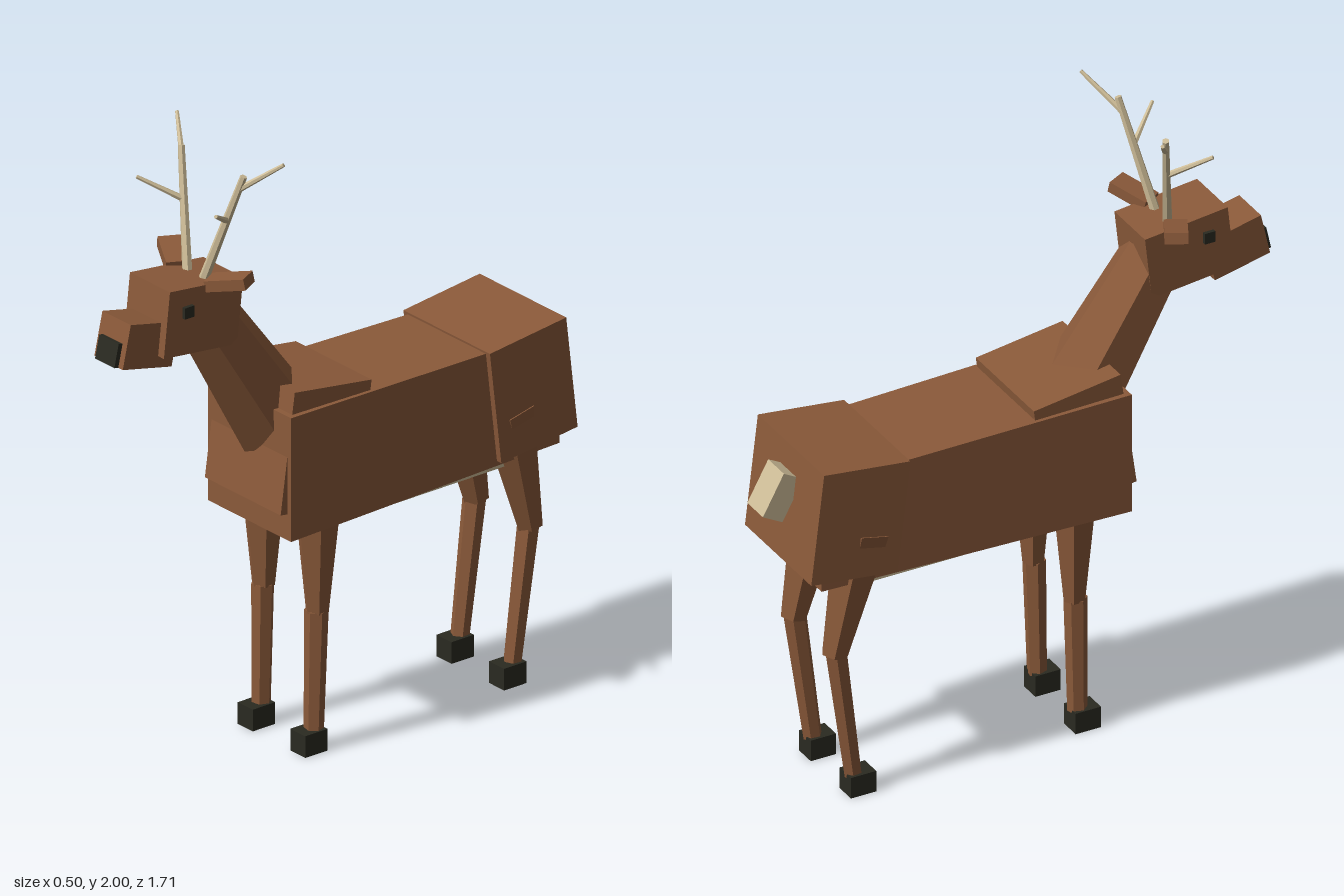
import * as THREE from 'three';

const flat = (name, color) => {
  const m = new THREE.MeshStandardMaterial({ color });
  m.name = name;
  return m;
};

export function createModel() {
  const root = new THREE.Group();
  root.name = 'deer';
  const brown = flat('brown coat', 0x8b5a3a);
  const cream = flat('cream', 0xcdbc97);
  const dark = flat('dark horn', 0x2a2a21);

  const add = (name, geometry, material) => {
    const mesh = new THREE.Mesh(geometry, material);
    mesh.name = name;
    root.add(mesh);
    return mesh;
  };

  // Tilted box: size, centre, rotation
  const box = (name, size, pos, material, rot = [0, 0, 0]) => {
    const mesh = add(name, new THREE.BoxGeometry(...size), material);
    mesh.position.set(...pos);
    mesh.rotation.set(rot[0], rot[1], rot[2], 'YXZ');
    return mesh;
  };

  // Faceted tapered limb running from point a to point b
  const limb = (name, a, b, ra, rb, material, sides = 6) => {
    const start = new THREE.Vector3(...a), end = new THREE.Vector3(...b);
    const dir = end.clone().sub(start);
    const geo = new THREE.CylinderGeometry(rb, ra, dir.length(), sides).toNonIndexed();
    geo.computeVertexNormals();
    const mesh = add(name, geo, material);
    mesh.position.copy(start).add(end).multiplyScalar(0.5);
    mesh.quaternion.setFromUnitVectors(new THREE.Vector3(0, 1, 0), dir.normalize());
    return mesh;
  };

  // Torso, narrowing towards the back
  const torso = new THREE.BoxGeometry(0.386, 0.4, 1.035);
  const p = torso.attributes.position;
  for (let i = 0; i < p.count; i++) {
    if (p.getZ(i) < 0) p.setXY(i, p.getX(i) * 0.915, p.getY(i) * 0.915);
  }
  torso.computeVertexNormals();
  add('torso', torso, brown).position.set(0, 0.935, -0.208);

  box('chest', [0.352, 0.385, 0.295], [0, 0.992, 0.162], brown, [-0.14, 0, 0]);
  box('rump', [0.402, 0.368, 0.292], [0, 0.964, -0.607], brown, [0.118, 0, 0]);
  box('belly', [0.29, 0.08, 0.66], [0, 0.757, -0.232], cream);
  box('tail', [0.095, 0.147, 0.075], [0, 1.023, -0.783], cream, [0.5, 0, 0]);

  // Neck and head
  limb('neck', [0, 1.04, 0.212], [0, 1.475, 0.495], 0.138, 0.1, brown);
  box('head', [0.186, 0.21, 0.28], [0, 1.496, 0.56], brown, [-0.11, 0, 0]);
  box('muzzle', [0.132, 0.14, 0.19], [0, 1.448, 0.737], brown, [-0.22, 0, 0]);
  box('nose', [0.09, 0.075, 0.028], [0, 1.437, 0.838], dark, [-0.22, 0, 0]);

  // Paired parts, mirrored across x
  for (const s of [1, -1]) {
    const side = s > 0 ? 'left' : 'right';
    const at = (x, y, z) => [s * x, y, z];

    box(side + 'Eye', [0.02, 0.036, 0.036], at(0.095, 1.536, 0.622), dark);
    box(side + 'Ear', [0.13, 0.035, 0.07], at(0.13, 1.608, 0.493), brown,
      [0, s * 0.48, s * 0.22]);

    limb(side + 'AntlerBeam', at(0.038, 1.59, 0.515), at(0.145, 1.94, 0.45), 0.016, 0.011, cream);
    limb(side + 'AntlerUpperTine', at(0.13, 1.895, 0.457), at(0.248, 1.994, 0.382), 0.01, 0.006, cream);
    limb(side + 'AntlerFrontTine', at(0.1, 1.79, 0.478), at(0.184, 1.864, 0.588), 0.01, 0.006, cream);

    limb(side + 'FrontUpperLeg', at(0.126, 0.8, 0.154), at(0.125, 0.445, 0.154), 0.073, 0.036, brown);
    limb(side + 'FrontLowerLeg', at(0.125, 0.45, 0.157), at(0.122, 0.06, 0.165), 0.036, 0.03, brown);
    box(side + 'FrontHoof', [0.07, 0.07, 0.085], at(0.122, 0.035, 0.183), dark);

    limb(side + 'HindThigh', at(0.125, 0.905, -0.56), at(0.125, 0.49, -0.653), 0.092, 0.042, brown);
    limb(side + 'HindLowerLeg', at(0.125, 0.495, -0.648), at(0.122, 0.06, -0.59), 0.036, 0.029, brown);
    box(side + 'HindHoof', [0.07, 0.07, 0.085], at(0.122, 0.035, -0.573), dark);
  }
  return root;
}
